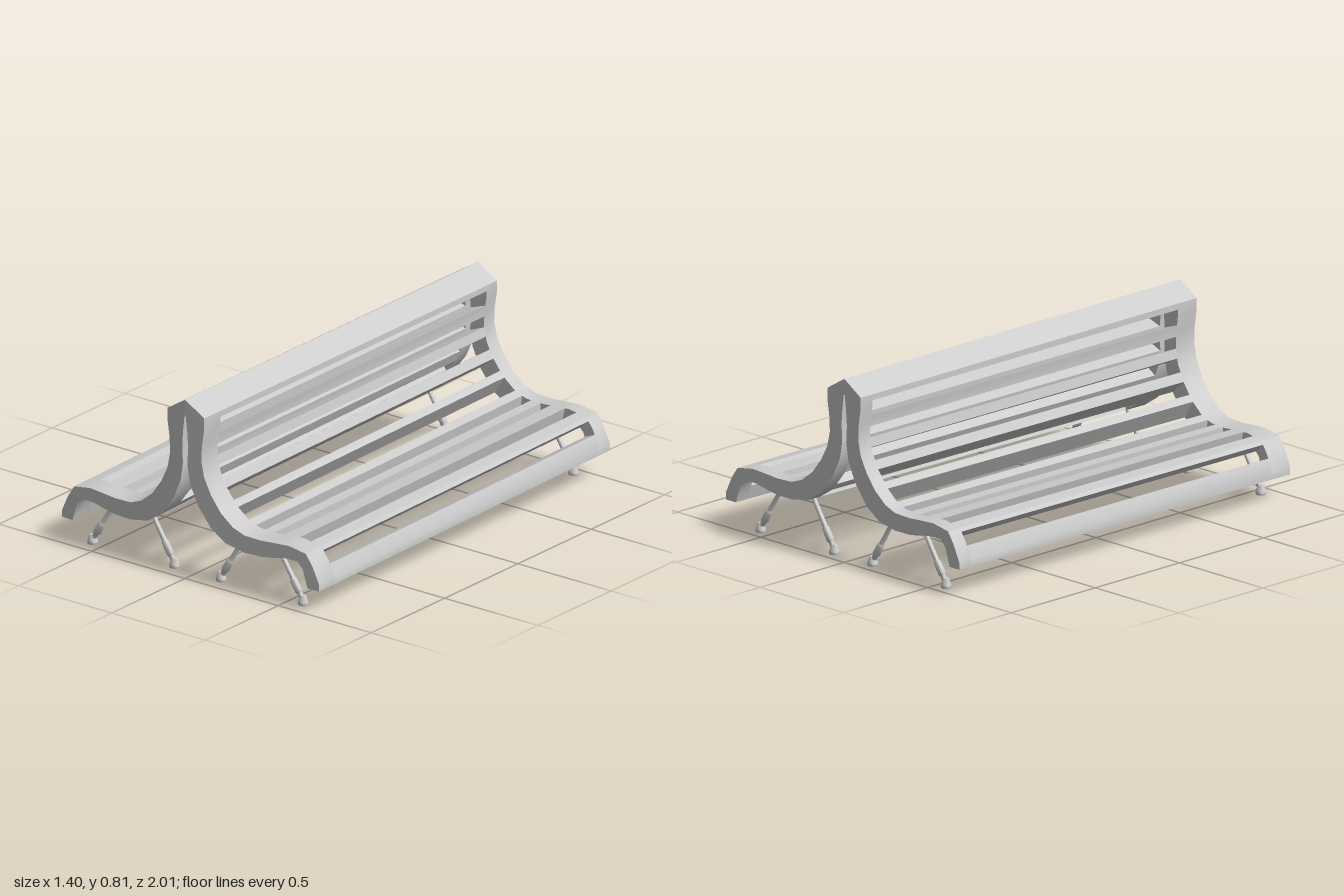
import * as THREE from 'three';
import { mergeGeometries, toCreasedNormals } from 'three/addons/utils/BufferGeometryUtils.js';

// Bench section for one half: [outer x, outer y, inner x, inner y], ridge to front lip
const STATIONS = [
  [0, 0.812, 0, 0.74], [0.1, 0.75, 0.003, 0.74], [0.1, 0.7, 0.012, 0.66],
  [0.088, 0.62, 0.016, 0.6], [0.085, 0.55, 0.012, 0.52], [0.1, 0.48, 0.025, 0.44],
  [0.135, 0.41, 0.065, 0.35], [0.187, 0.34, 0.135, 0.26], [0.25, 0.29, 0.21, 0.21],
  [0.31, 0.268, 0.31, 0.19], [0.4, 0.265, 0.4, 0.192], [0.46, 0.27, 0.45, 0.2],
  [0.54, 0.275, 0.52, 0.215], [0.63, 0.26, 0.587, 0.215], [0.665, 0.21, 0.615, 0.185],
  [0.7, 0.135, 0.635, 0.12], [0.7, 0.105, 0.64, 0.105],
];
const LAST = STATIONS.length - 1;
// Slots between the slats, as ranges along the section
const SLOTS = [
  [1.55, 2.6], [3.3, 4.05], [4.65, 5.45], [6, 6.7], [7.1, 8],
  [8.65, 9.3], [9.85, 10.65], [11.7, 12.4], [13.3, 14.25],
];
const Z_BACK = -0.93, Z_FRONT = 0.89;

function stationAt(s) {
  const i = Math.min(Math.floor(s), LAST - 1), t = s - i;
  return STATIONS[i].map((v, k) => v + (STATIONS[i + 1][k] - v) * t);
}

// Slight skew of the long benches from front to back
function skew(geometry) {
  const p = geometry.attributes.position;
  for (let i = 0; i < p.count; i++) {
    let x = p.getX(i), y = p.getY(i), z = p.getZ(i);
    const out = Math.abs(x) / 0.7;
    y += 0.02 * (1 - z) / 2 * THREE.MathUtils.clamp((0.75 - y) / 0.4, 0, 1);
    if (x < 0) x *= 1 - 0.028 * (z + 1) / 2;
    z -= (z > 0 ? 0.025 : -0.01) * out * z;
    p.setXYZ(i, x, y, z);
  }
  return geometry;
}

// A piece of the curved section from s0 to s1, extruded along z
function sectionPiece(side, s0, s1, z0, z1) {
  const stops = [s0];
  for (let i = Math.floor(s0) + 1; i < s1; i++) stops.push(i);
  stops.push(s1);
  const pts = stops.map(stationAt);
  const outline = [
    ...pts.map(p => new THREE.Vector2(side * p[0], p[1])),
    ...pts.reverse().map(p => new THREE.Vector2(side * p[2], p[3])),
  ];
  if (s0 === 0) outline.pop();
  if (s0 === 0) outline.push(new THREE.Vector2(0, 0.74));
  const g = new THREE.ExtrudeGeometry(new THREE.Shape(outline), { depth: z1 - z0, bevelEnabled: false });
  return skew(g.translate(0, 0, z0));
}

export function createModel() {
  const model = new THREE.Group();
  model.name = 'doubleSidedBench';
  const material = new THREE.MeshStandardMaterial({ color: 0xcccccc });
  const add = (parent, name, geometry) => {
    const mesh = new THREE.Mesh(geometry, material);
    mesh.name = name;
    parent.add(mesh);
    return mesh;
  };

  for (const side of [1, -1]) {
    const half = new THREE.Group();
    half.name = side > 0 ? 'leftBench' : 'rightBench';
    model.add(half);

    // End frames
    add(half, 'frontFrame', toCreasedNormals(sectionPiece(side, 0, LAST, Z_FRONT, 1), 0.5));
    add(half, 'backFrame', toCreasedNormals(sectionPiece(side, 0, LAST, -1, Z_BACK), 0.5));

    // Ridge cap, slats and front lip fill the spaces between the slots
    const edges = [0, ...SLOTS.flat(), LAST];
    const slats = [];
    for (let i = 0; i < edges.length; i += 2)
      slats.push(sectionPiece(side, edges[i], edges[i + 1], Z_BACK, Z_FRONT));
    add(half, 'slats', toCreasedNormals(mergeGeometries(slats), 0.5));

    // Splayed legs: thin rod, thicker sleeve, flared foot
    for (const z of [0.925, -0.945]) {
      const shift = side > 0 && z > 0 ? 0.02 : 0;
      for (const [topX, footX] of [[0.24, 0.115], [0.425, 0.555]]) {
        const leg = new THREE.Group();
        leg.name = 'leg';
        half.add(leg);
        const top = new THREE.Vector3(side * (topX + shift), 0.225, z);
        const foot = new THREE.Vector3(side * (footX + shift), 0.02, z);
        const axis = top.clone().sub(foot);
        const length = axis.length();
        const profile = [
          [0, 0], [0.012, 0], [0.012, 0.035], [0.017, 0.042], [0.016, 0.095],
          [0.011, 0.105], [0.01, length], [0, length],
        ].map(p => new THREE.Vector2(...p));
        const rod = add(leg, 'rod', toCreasedNormals(new THREE.LatheGeometry(profile, 10), 0.7));
        rod.position.copy(foot);
        rod.quaternion.setFromUnitVectors(new THREE.Vector3(0, 1, 0), axis.normalize());
        const footProfile = [[0, 0], [0.021, 0], [0.024, 0.008], [0.021, 0.018], [0.013, 0.042], [0, 0.046]]
          .map(p => new THREE.Vector2(...p));
        add(leg, 'foot', toCreasedNormals(new THREE.LatheGeometry(footProfile, 10), 0.7))
          .position.set(foot.x, 0, z);
      }
    }
  }
  return model;
}
